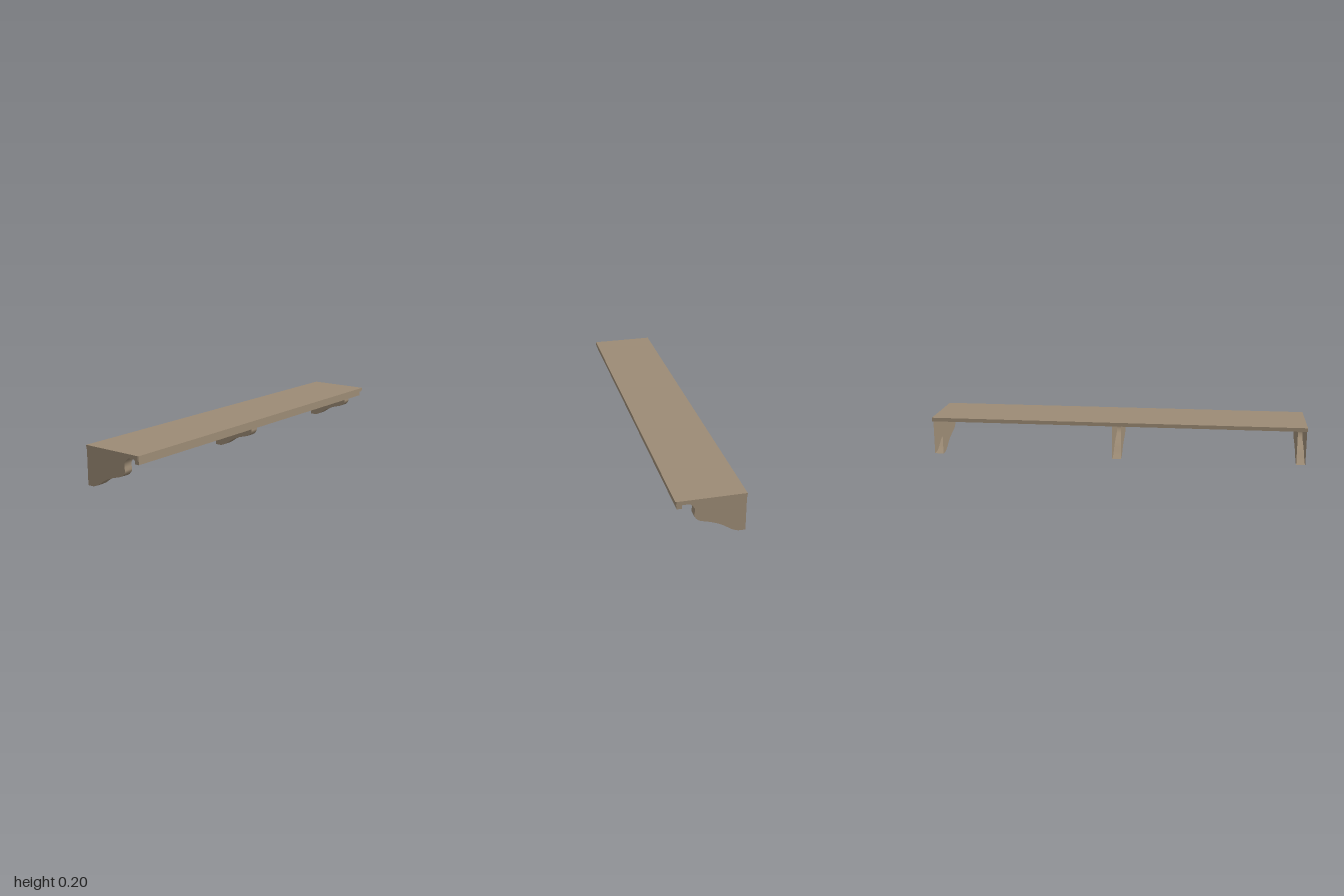
import * as THREE from 'three';

const wood = new THREE.MeshStandardMaterial({ color: 0x9c8b75, side: THREE.DoubleSide });
wood.name = 'wood';

const BACK = -0.168;
const FRONT = 0.17;

// bracket outline as [z, y], from under the shelf down to the wall
const profile = [
  [0.107, 0.18], [0.098, 0.174], [0.088, 0.165], [0.077, 0.147], [0.077, 0.13],
  [0.08, 0.115], [0.078, 0.105], [0.07, 0.094], [0.062, 0.086], [0.05, 0.08],
  [0.03, 0.074], [0, 0.066], [-0.035, 0.053], [-0.06, 0.04], [-0.085, 0.023],
  [-0.1, 0.013], [-0.12, 0.004], [-0.135, 0], [BACK, 0],
];

function addMesh(parent, geometry, name) {
  const mesh = new THREE.Mesh(geometry, wood);
  mesh.name = name;
  parent.add(mesh);
  return mesh;
}

// hollow bracket: two side walls and a curved front skin, open against the wall
function makeBracket(width) {
  const bracket = new THREE.Group();
  const outline = [...profile, [BACK, 0.18]].map(([z, y]) => new THREE.Vector2(z, y));
  const side = new THREE.ShapeGeometry(new THREE.Shape(outline)).rotateY(-Math.PI / 2);
  for (const s of [-1, 1]) {
    addMesh(bracket, side, s > 0 ? 'bracketLeftSide' : 'bracketRightSide').position.x = s * width / 2;
  }
  const skin = new THREE.PlaneGeometry(width, 1, 1, profile.length - 1);
  const pos = skin.attributes.position;
  for (let i = 0; i < pos.count; i++) {
    const [z, y] = profile[Math.floor(i / 2)];
    pos.setXYZ(i, pos.getX(i), y, z);
  }
  skin.computeVertexNormals();
  addMesh(bracket, skin, 'bracketCurvedFront');
  return bracket;
}

export function createModel() {
  const model = new THREE.Group();
  model.name = 'wallShelf';

  // shelf board with slightly clipped front corners
  const c = 0.004;
  const board = new THREE.Shape([
    [-1, BACK], [1, BACK], [1, FRONT - c], [1 - c, FRONT], [-1 + c, FRONT], [-1, FRONT - c],
  ].map(([x, z]) => new THREE.Vector2(x, z)));
  const boardGeometry = new THREE.ExtrudeGeometry(board, { depth: 0.02, bevelEnabled: false });
  addMesh(model, boardGeometry.rotateX(Math.PI / 2), 'shelfBoard').position.y = 0.2;

  // rail below the front edge
  const rail = addMesh(model, new THREE.BoxGeometry(1.976, 0.026, 0.025), 'frontRail');
  rail.position.set(0, 0.167, 0.148);

  // three supports
  const places = { rightBracket: -0.973, middleBracket: -0.003, leftBracket: 0.969 };
  for (const [name, x] of Object.entries(places)) {
    const bracket = makeBracket(0.047);
    bracket.name = name;
    bracket.position.x = x;
    model.add(bracket);
  }
  return model;
}
